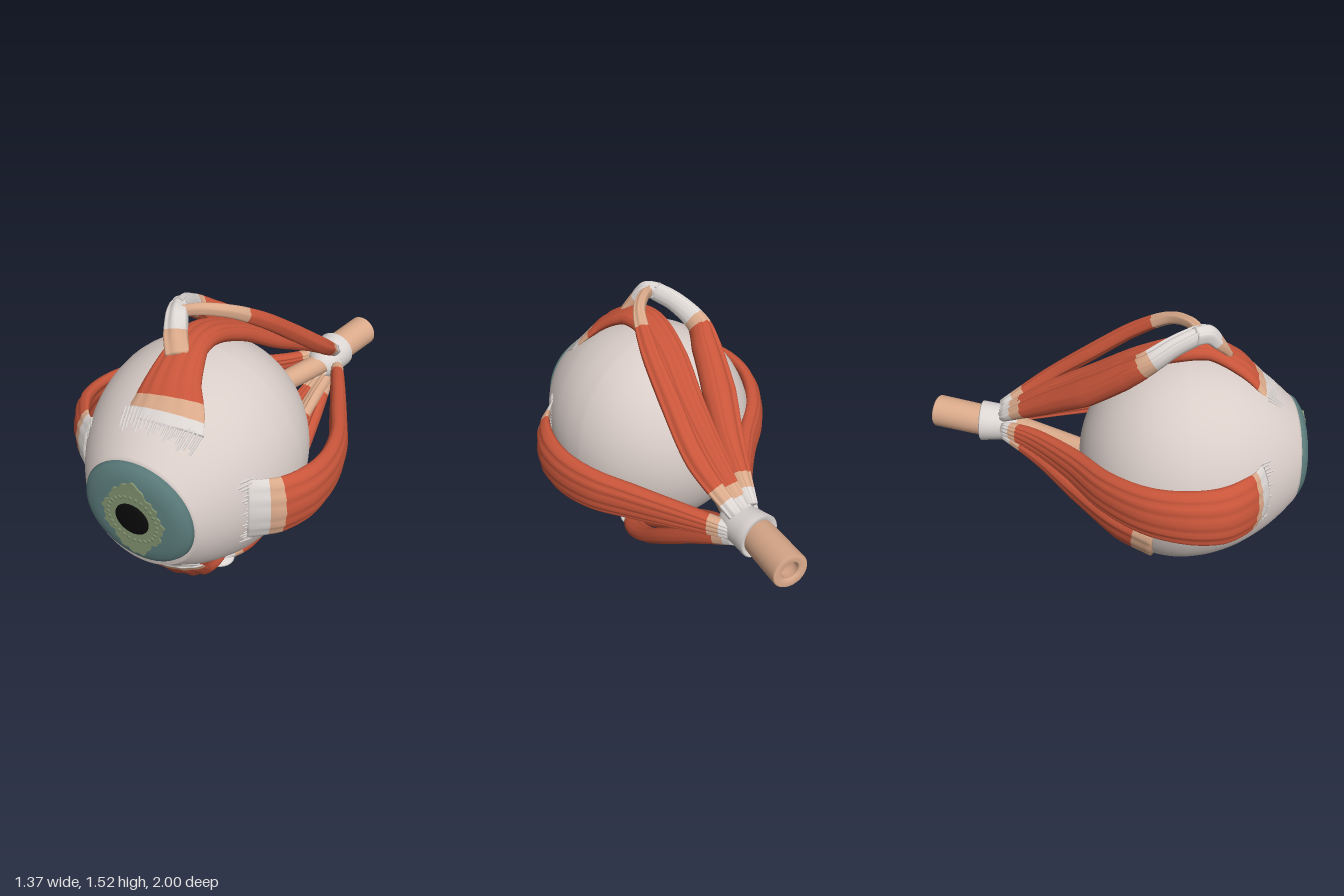
import * as THREE from 'three';

const paint = (name, color) => Object.assign(new THREE.MeshStandardMaterial({ color }), { name });
const RED = 0, PEACH = 1, WHITE = 2;
const V = (x, y, z) => new THREE.Vector3(x, y, z);

export function createModel() {
  const model = new THREE.Group();
  model.name = 'eyeballWithMuscles';
  const tissue = [paint('muscleRed', 0xc8553a), paint('tendonPeach', 0xd9a98a), paint('tendonWhite', 0xdcd6d3)];
  const sclera = paint('scleraWhite', 0xd9cdc8);
  const teal = paint('irisTeal', 0x5b7b7b);
  const green = paint('irisGreen', 0x80926f);
  const black = paint('pupilBlack', 0x0a0a0a);
  const nerveHole = paint('nerveCore', 0xc99a7e);

  function add(name, geometry, material) {
    const mesh = new THREE.Mesh(geometry, material);
    mesh.name = name;
    model.add(mesh);
    return mesh;
  }
  // Lathe turned so that its axis points along +z
  function latheZ(name, points, material, x, y) {
    const g = new THREE.LatheGeometry(points.map(p => new THREE.Vector2(p[0], p[1])), 72);
    g.rotateX(Math.PI / 2);
    const mesh = add(name, g, material);
    mesh.position.set(x, y, 0);
    return mesh;
  }

  // Eyeball: round behind, drawn in towards the cornea
  const profile = [];
  for (let i = 0; i <= 16; i++) {
    const a = -Math.PI / 2 * (1 - i / 16);
    profile.push([0.553 * Math.cos(a), 0.35 + 0.54 * Math.sin(a)]);
  }
  profile.push([0.544, 0.46], [0.514, 0.58], [0.47, 0.68], [0.418, 0.77], [0.359, 0.85], [0.287, 0.929]);
  const smooth = new THREE.SplineCurve(profile.map(p => new THREE.Vector2(...p))).getPoints(88)
    .map(p => [Math.max(0, p.x), p.y]);
  const ball = latheZ('eyeball', [...smooth, [0.2, 0.945], [0, 0.945]], sclera, -0.02, 0.725);
  ball.scale.set(0.97, 1.03, 1);

  // Point on the eyeball at an angle around the z axis
  function onBall(angle, z, lift = 0) {
    let i = 1;
    while (i < smooth.length - 1 && smooth[i][1] < z) i++;
    const [a, b] = [smooth[i - 1], smooth[i]];
    const r = lift + a[0] + (b[0] - a[0]) * (z - a[1]) / (b[1] - a[1]);
    return V(-0.02 + 0.97 * r * Math.cos(angle), 0.725 + 1.03 * r * Math.sin(angle), z);
  }

  // Iris, ragged inner ring and pupil
  latheZ('iris', [[0.27, 0.915], [0.281, 0.93], [0.272, 0.946], [0.24, 0.967], [0.19, 0.979], [0.1, 0.984], [0, 0.985]],
    teal, -0.02, 0.742);
  const ragged = new THREE.Shape();
  for (let i = 0; i < 120; i++) {
    const a = i / 120 * Math.PI * 2;
    const r = 0.153 + 0.055 * Math.abs(Math.sin(a)) ** 9 + 0.006 * Math.sin(a * 22) + 0.006 * Math.sin(a * 9 + 1);
    ragged[i ? 'lineTo' : 'moveTo'](r * Math.cos(a), r * Math.sin(a));
  }
  add('irisInnerRing', new THREE.ExtrudeGeometry(ragged, { depth: 0.009, bevelEnabled: false }), green)
    .position.set(-0.02, 0.742, 0.978);
  for (let i = 0; i < 28; i++) {
    const a = i / 28 * Math.PI * 2;
    const bead = add('irisBead', new THREE.SphereGeometry(0.013, 8, 6), green);
    bead.position.set(-0.02 + 0.125 * Math.cos(a), 0.745 + 0.125 * Math.sin(a), 0.984);
    bead.scale.z = 0.5;
  }
  latheZ('pupil', [[0.085, 0.97], [0.085, 0.99], [0.06, 0.996], [0, 1]], black, -0.02, 0.748);

  // Ribbed strap swept through rows of [x, y, z, half width, half thickness];
  // breaks are [row number where the colour ends, colour]
  function strap(name, rows, breaks, ribs = 5) {
    const curve = new THREE.CatmullRomCurve3(rows.map(r => V(r[0], r[1], r[2])));
    const steps = (rows.length - 1) * 8, around = 48, last = rows.length - 1;
    const pos = [], index = [];
    for (let k = -1; k <= steps + 1; k++) {
      const i = Math.min(steps, Math.max(0, k)), f = i / 8;
      const lo = Math.min(last - 1, Math.floor(f)), m = f - lo;
      const closed = k < 0 || k > steps ? 0.001 : 1;
      const w = closed * THREE.MathUtils.lerp(rows[lo][3], rows[lo + 1][3], m);
      const h = closed * THREE.MathUtils.lerp(rows[lo][4], rows[lo + 1][4], m);
      const p = curve.getPoint(i / steps), t = curve.getTangent(i / steps);
      const s = THREE.MathUtils.clamp((0.35 - p.z) / 0.95, 0, 1);
      const n = p.clone().sub(V(-0.02 + 0.3 * s, 0.72 + 0.04 * s, Math.min(p.z, 0.35)));
      n.addScaledVector(t, -n.dot(t)).normalize();
      const side = n.clone().cross(t);
      for (let j = 0; j < around; j++) {
        const a = j / around * Math.PI * 2, c = Math.cos(a), d = Math.sin(a);
        const u = Math.sign(c) * Math.abs(c) ** 0.8 * w;
        const v = Math.sign(d) * Math.abs(d) ** 0.7 * h * (1 + 0.15 * Math.cos(ribs * Math.PI * c)) - u * u * 1.2;
        pos.push(...p.clone().addScaledVector(side, u).addScaledVector(n, v).toArray());
      }
    }
    const g = new THREE.BufferGeometry();
    let start = 0, b = 0;
    for (let k = 0; k < steps + 2; k++) {
      while (b < breaks.length - 1 && (k - 1) / 8 >= breaks[b][0]) {
        g.addGroup(start, index.length - start, breaks[b][1]);
        start = index.length;
        b++;
      }
      for (let j = 0; j < around; j++) {
        const p = k * around + j, q = k * around + (j + 1) % around;
        index.push(p, q, p + around, q, q + around, p + around);
      }
    }
    g.addGroup(start, index.length - start, breaks[b][1]);
    g.setAttribute('position', new THREE.Float32BufferAttribute(pos, 3));
    g.setIndex(index);
    g.computeVertexNormals();
    add(name, g, tissue);
  }

  // Four straight muscles, from the collar to the front of the ball
  const ends = (red, peach) => [[0.2, WHITE], [0.5, PEACH], [red, RED], [peach, PEACH], [99, WHITE]];
  strap('upperMuscle', [[0.26, 0.83, -0.6, 0.04, 0.03], [0.22, 0.98, -0.38, 0.06, 0.035], [0.14, 1.13, -0.12, 0.075, 0.04],
    [0.05, 1.28, 0.12, 0.085, 0.04], [0, 1.355, 0.32, 0.09, 0.04], [-0.005, 1.355, 0.46, 0.09, 0.035],
    [0, 1.275, 0.62, 0.13, 0.03], [0.015, 1.19, 0.72, 0.175, 0.018], [0.02, 1.142, 0.78, 0.195, 0.008]], ends(6.6, 7.2));
  strap('lowerMuscle', [[0.27, 0.68, -0.6, 0.04, 0.03], [0.2, 0.55, -0.35, 0.055, 0.035], [0.12, 0.36, -0.1, 0.07, 0.04],
    [0.06, 0.17, 0.12, 0.09, 0.04], [0.04, 0.065, 0.32, 0.11, 0.04], [0.03, 0.06, 0.5, 0.13, 0.04],
    [0.02, 0.15, 0.66, 0.16, 0.035], [0.02, 0.25, 0.76, 0.185, 0.022], [0.02, 0.335, 0.83, 0.195, 0.008]], ends(7.4, 7.8));
  strap('leftMuscle', [[0.34, 0.755, -0.6, 0.04, 0.03], [0.43, 0.75, -0.38, 0.07, 0.035], [0.53, 0.74, -0.12, 0.1, 0.04],
    [0.61, 0.73, 0.1, 0.125, 0.04], [0.635, 0.725, 0.3, 0.14, 0.04], [0.61, 0.725, 0.47, 0.155, 0.04],
    [0.54, 0.725, 0.61, 0.165, 0.03], [0.477, 0.725, 0.67, 0.17, 0.018], [0.415, 0.725, 0.72, 0.175, 0.008]], ends(6, 6.75));
  strap('rightMuscle', [[0.2, 0.77, -0.6, 0.04, 0.03], [0.08, 0.77, -0.44, 0.065, 0.035], [-0.15, 0.775, -0.24, 0.09, 0.04],
    [-0.4, 0.78, -0.07, 0.115, 0.04], [-0.565, 0.785, 0.12, 0.135, 0.04], [-0.635, 0.79, 0.32, 0.15, 0.04],
    [-0.63, 0.79, 0.48, 0.16, 0.04], [-0.57, 0.785, 0.6, 0.165, 0.03], [-0.513, 0.78, 0.67, 0.165, 0.018],
    [-0.457, 0.78, 0.72, 0.17, 0.008]], ends(7.4, 8));

  // Frayed tendon threads where the straight muscles meet the ball
  for (const [angle, spread, z, length] of [[1.48, 0.46, 0.74, 0.075], [-1.47, 0.5, 0.8, 0.07],
    [0, 0.38, 0.67, 0.055], [3.02, 0.36, 0.67, 0.055]]) {
    for (let i = 0; i < 21; i++) {
      const u = i / 10 - 1, reach = length + 0.015 * Math.sin(i * 4.7);
      const path = new THREE.CatmullRomCurve3([0, 0.5, 1].map(k =>
        onBall(angle + u * spread * (1 + 0.06 * k), z + reach * k, 0.003 - 0.007 * k)));
      add('tendonThread', new THREE.TubeGeometry(path, 6, 0.0065, 6), tissue[WHITE]);
    }
  }

  // Upper slanting muscle, its loop and the tendon down to the ball
  strap('upperSlantingMuscle', [[0.22, 0.84, -0.6, 0.035, 0.03], [0.1, 1.0, -0.36, 0.07, 0.045], [-0.03, 1.15, -0.15, 0.09, 0.055],
    [-0.12, 1.285, 0.03, 0.075, 0.055], [-0.16, 1.36, 0.13, 0.052, 0.05], [-0.135, 1.44, 0.27, 0.045, 0.042],
    [-0.1, 1.475, 0.38, 0.042, 0.04]], [[0.2, WHITE], [0.5, PEACH], [3.8, RED], [4.25, PEACH], [99, WHITE]], 3);
  strap('loopTendon', [[-0.11, 1.475, 0.36, 0.042, 0.04], [-0.08, 1.47, 0.43, 0.05, 0.04], [-0.055, 1.41, 0.49, 0.055, 0.03],
    [-0.02, 1.345, 0.54, 0.055, 0.02]], [[1.75, WHITE], [99, PEACH]], 2);
  strap('upperArchMuscle', [[0.32, 0.84, -0.6, 0.035, 0.03], [0.325, 1.01, -0.35, 0.05, 0.038], [0.26, 1.2, -0.1, 0.05, 0.038],
    [0.19, 1.365, 0.12, 0.042, 0.034], [0.1, 1.465, 0.28, 0.03, 0.028], [0, 1.49, 0.36, 0.026, 0.026],
    [-0.08, 1.48, 0.4, 0.024, 0.024]], [[0.2, WHITE], [0.5, PEACH], [3.4, RED], [99, PEACH]], 2);

  // Lower slanting muscle with its pad, and the short muscles behind the ball
  strap('lowerSlantingMuscle', [[0.3, 0.68, -0.6, 0.035, 0.03], [0.31, 0.53, -0.35, 0.045, 0.035], [0.3, 0.35, -0.1, 0.055, 0.038],
    [0.26, 0.18, 0.12, 0.06, 0.038], [0.2, 0.085, 0.3, 0.06, 0.038], [0.1, 0.045, 0.43, 0.05, 0.03]],
    [[0.2, WHITE], [0.5, PEACH], [4.2, RED], [4.5, PEACH], [99, WHITE]], 3);
  const pad = add('lowerPad', new THREE.SphereGeometry(1, 24, 16), tissue[WHITE]);
  pad.scale.set(0.09, 0.03, 0.08);
  pad.position.set(0.1, 0.036, 0.42);
  strap('shortRightMuscle', [[0.22, 0.72, -0.6, 0.03, 0.03], [0.05, 0.66, -0.4, 0.06, 0.035], [-0.17, 0.59, -0.21, 0.09, 0.035],
    [-0.38, 0.53, -0.02, 0.11, 0.03], [-0.5, 0.49, 0.15, 0.11, 0.015]],
    [[0.2, WHITE], [0.5, PEACH], [3.5, RED], [99, PEACH]], 3);
  strap('shortLeftMuscle', [[0.31, 0.7, -0.6, 0.03, 0.03], [0.29, 0.63, -0.35, 0.045, 0.03], [0.28, 0.55, -0.16, 0.045, 0.025],
    ...[[-0.78, 0, 0.045], [-0.92, 0.12, 0.05], [-1.02, 0.22, 0.075], [-1.06, 0.3, 0.07]].map(([angle, z, w]) =>
      [...onBall(angle, z, 0.004).toArray(), w, 0.012])],
    [[0.2, WHITE], [1.4, PEACH], [1.9, RED], [2.6, PEACH], [3.6, RED], [99, PEACH]], 3);

  // Nerve: inner length from the ball, outer hollow stub, and the white collar
  add('innerNerve', new THREE.TubeGeometry(new THREE.CatmullRomCurve3(
    [V(0.02, 0.72, -0.14), V(0.13, 0.73, -0.32), V(0.28, 0.76, -0.6)]), 20, 0.06, 20), tissue[PEACH]);
  function alongAxis(name, points, from, to, material) {
    const mesh = add(name, new THREE.LatheGeometry(points.map(p => new THREE.Vector2(...p)), 32), material);
    mesh.position.copy(from);
    mesh.quaternion.setFromUnitVectors(V(0, 1, 0), to.clone().sub(from).normalize());
  }
  const root = V(0.27, 0.763, -0.66), tip = V(0.37, 0.79, -0.975);
  alongAxis('nerveStub', [[0.08, 0], [0.086, 0.1], [0.088, 0.322], [0.082, 0.33], [0.05, 0.33], [0.044, 0.32]], root, tip, tissue[PEACH]);
  alongAxis('nerveHollow', [[0.044, 0.32], [0.038, 0.285], [0, 0.28]], root, tip, nerveHole);
  alongAxis('collar', [[0.06, -0.04], [0.095, 0], [0.098, 0.06], [0.106, 0.13], [0.111, 0.175], [0.104, 0.182], [0.08, 0.17]],
    V(0.268, 0.755, -0.545), V(0.288, 0.767, -0.73), tissue[WHITE]);

  return model;
}
